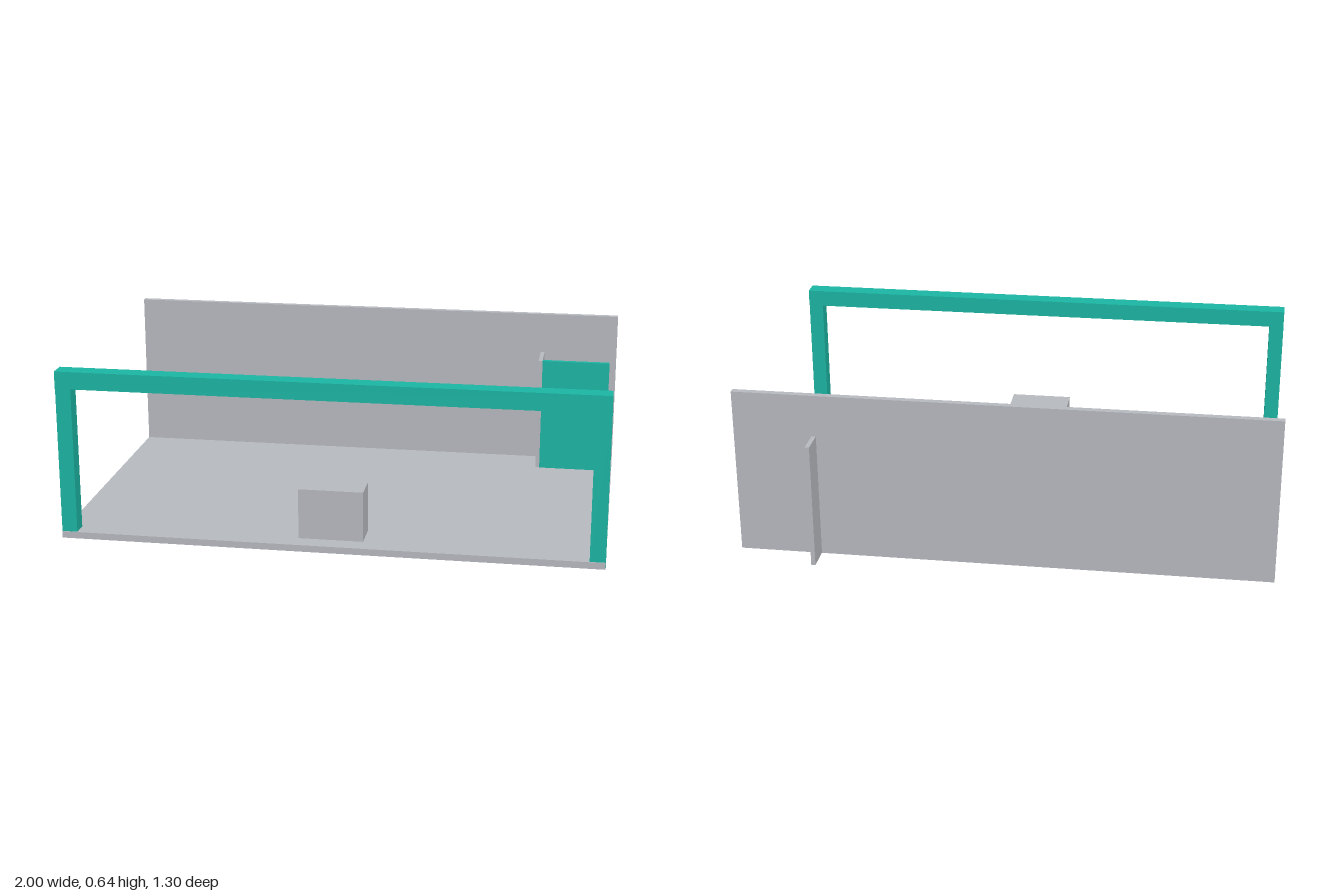
import * as THREE from 'three';

const grey = new THREE.MeshStandardMaterial({ color: 0xb8bbc1 });
grey.name = 'pale grey';
const teal = new THREE.MeshStandardMaterial({ color: 0x1cb7a5 });
teal.name = 'teal';

// Box given by its extent along each axis
function block(name, material, [x0, x1], [y0, y1], [z0, z1]) {
  const mesh = new THREE.Mesh(new THREE.BoxGeometry(x1 - x0, y1 - y0, z1 - z0), material);
  mesh.position.set((x0 + x1) / 2, (y0 + y1) / 2, (z0 + z1) / 2);
  mesh.name = name;
  return mesh;
}

export function createModel() {
  const room = new THREE.Group();
  room.name = 'room';

  // Floor slab and back wall
  room.add(block('floor', grey, [-1, 1], [0, 0.025], [-0.55, 0.65]));
  room.add(block('backWall', grey, [-1, 1], [0.025, 0.64], [-0.55, -0.525]));

  // Front frame: two posts, a hair proud of the floor's sides, and a beam
  const frame = new THREE.Group();
  frame.name = 'frontFrame';
  frame.add(block('leftPost', teal, [0.943, 1.0005], [0.0005, 0.575], [0.588, 0.646]));
  frame.add(block('rightPost', teal, [-1.0005, -0.943], [0.0005, 0.575], [0.588, 0.646]));
  frame.add(block('beam', teal, [-1, 1], [0.575, 0.64], [0.583, 0.65]));
  room.add(frame);

  // Counter just behind the frame
  room.add(block('counter', grey, [-0.12, 0.12], [0.025, 0.215], [0.46, 0.58]));

  // Side partition passing through the back wall, with a door panel
  room.add(block('partition', grey, [0.69, 0.706], [0.001, 0.48], [-0.65, -0.38]));
  room.add(block('doorPanel', teal, [0.706, 0.975], [0.001, 0.48], [-0.397, -0.378]));

  return room;
}
